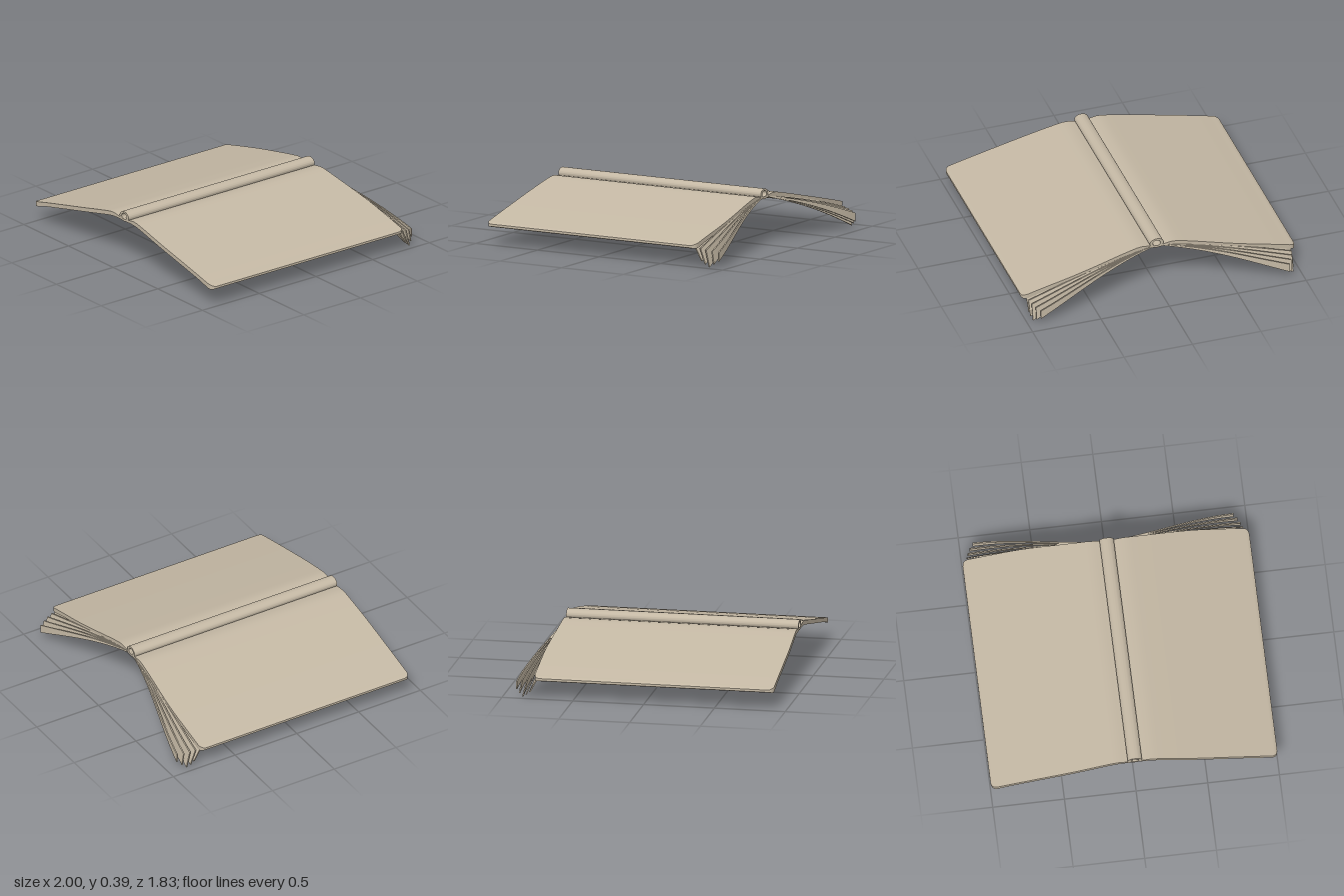
import * as THREE from 'three';
import { toCreasedNormals } from 'three/addons/utils/BufferGeometryUtils.js';

// Cross-section of the open cover: [distance from spine, top height, underside height]
const PROFILE = [
  [0, 0.338, 0.325], [0.05, 0.341, 0.325], [0.09, 0.353, 0.327], [0.14, 0.352, 0.322],
  [0.2, 0.34, 0.31], [0.3, 0.318, 0.287], [0.45, 0.283, 0.253],
  [0.65, 0.237, 0.207], [0.85, 0.19, 0.16], [0.95, 0.165, 0.13], [0.985, 0.157, 0.125], [1, 0.148, 0.132],
];

function profile(d, column) {
  let i = 1;
  while (i < PROFILE.length - 1 && d > PROFILE[i][0]) i++;
  const a = PROFILE[i - 1], b = PROFILE[i];
  return THREE.MathUtils.mapLinear(d, a[0], b[0], a[column], b[column]);
}

// Move every vertex of a geometry by a rule, then smooth all but the sharp edges
function reshape(geometry, rule) {
  const p = geometry.attributes.position;
  const v = new THREE.Vector3();
  for (let i = 0; i < p.count; i++) {
    rule(v.fromBufferAttribute(p, i));
    p.setXYZ(i, v.x, v.y, v.z);
  }
  return toCreasedNormals(geometry, 0.7);
}

// Bent cover with rounded corners
function coverGeometry() {
  const r = 0.04;
  return reshape(new THREE.BoxGeometry(2, 1, 1, 80, 1, 6), (v) => {
    const d = 1 - Math.pow(1 - Math.abs(v.x), 1.5);
    const k = Math.max(0, d - (1 - r));
    const corner = r - Math.sqrt(Math.max(0, r * r - k * k));
    const back = -0.735 - 0.04 * THREE.MathUtils.smoothstep(d, 0, 0.7) + corner;
    const front = 0.905 + 0.01 * THREE.MathUtils.smoothstep(d, 0, 0.5) - corner;
    v.set(Math.sign(v.x) * d, profile(d, v.y > 0 ? 1 : 2), THREE.MathUtils.lerp(back, front, v.z + 0.5));
  });
}

// One curling leaf: a thin strip fanning out and down from the spine
function leafGeometry(side, t) {
  const endX = 0.965 - 0.055 * t * t;
  const endTop = 0.135 - 0.035 * t;
  const endBottom = 0.05 * Math.abs(t - 0.5) * 1.6;
  return reshape(new THREE.BoxGeometry(1, 1, 1, 28, 2, 1), (v) => {
    const u = side * v.x + 0.5;
    const h = v.y + 0.5;
    const x = THREE.MathUtils.lerp(0.05, endX, u);
    const bow = Math.sin(Math.PI * u);
    const top = THREE.MathUtils.lerp(0.336, endTop, u) + 0.018 * bow;
    const bottom = THREE.MathUtils.lerp(0.328, endBottom, u) + 0.025 * bow;
    const spread = THREE.MathUtils.lerp(u, u * u * (3 - 2 * u), 0.4);
    const zTop = -0.732 - (0.025 + 0.155 * t) * spread;
    const zBottom = -0.735 - (0.075 + 0.105 * t) * spread;
    v.set(side * x, THREE.MathUtils.lerp(bottom, top, h), THREE.MathUtils.lerp(zBottom, zTop, h) + v.z * 0.009);
  });
}

// Hollow spine roll
function spineGeometry() {
  const ring = new THREE.Shape().absellipse(0, 0, 0.05, 0.036, 0, Math.PI * 2);
  ring.holes.push(new THREE.Path().absellipse(0, 0, 0.028, 0.023, 0, Math.PI * 2, true));
  const g = new THREE.ExtrudeGeometry(ring, { depth: 1.64, bevelEnabled: false, curveSegments: 20 });
  g.translate(0.003, 0.358, -0.735);
  return toCreasedNormals(g, 0.7);
}

export function createModel() {
  const group = new THREE.Group();
  group.name = 'openBook';
  const paper = new THREE.MeshStandardMaterial({ color: 0xc4b8a4 });
  paper.name = 'warm beige';

  const add = (name, geometry) => {
    const mesh = new THREE.Mesh(geometry, paper);
    mesh.name = name;
    group.add(mesh);
  };

  add('cover', coverGeometry());
  add('spine', spineGeometry());
  const leaves = 5;
  for (const side of [-1, 1]) {
    for (let i = 0; i < leaves; i++) {
      add((side > 0 ? 'leftLeaf' : 'rightLeaf') + (i + 1), leafGeometry(side, i / (leaves - 1)));
    }
  }
  return group;
}
